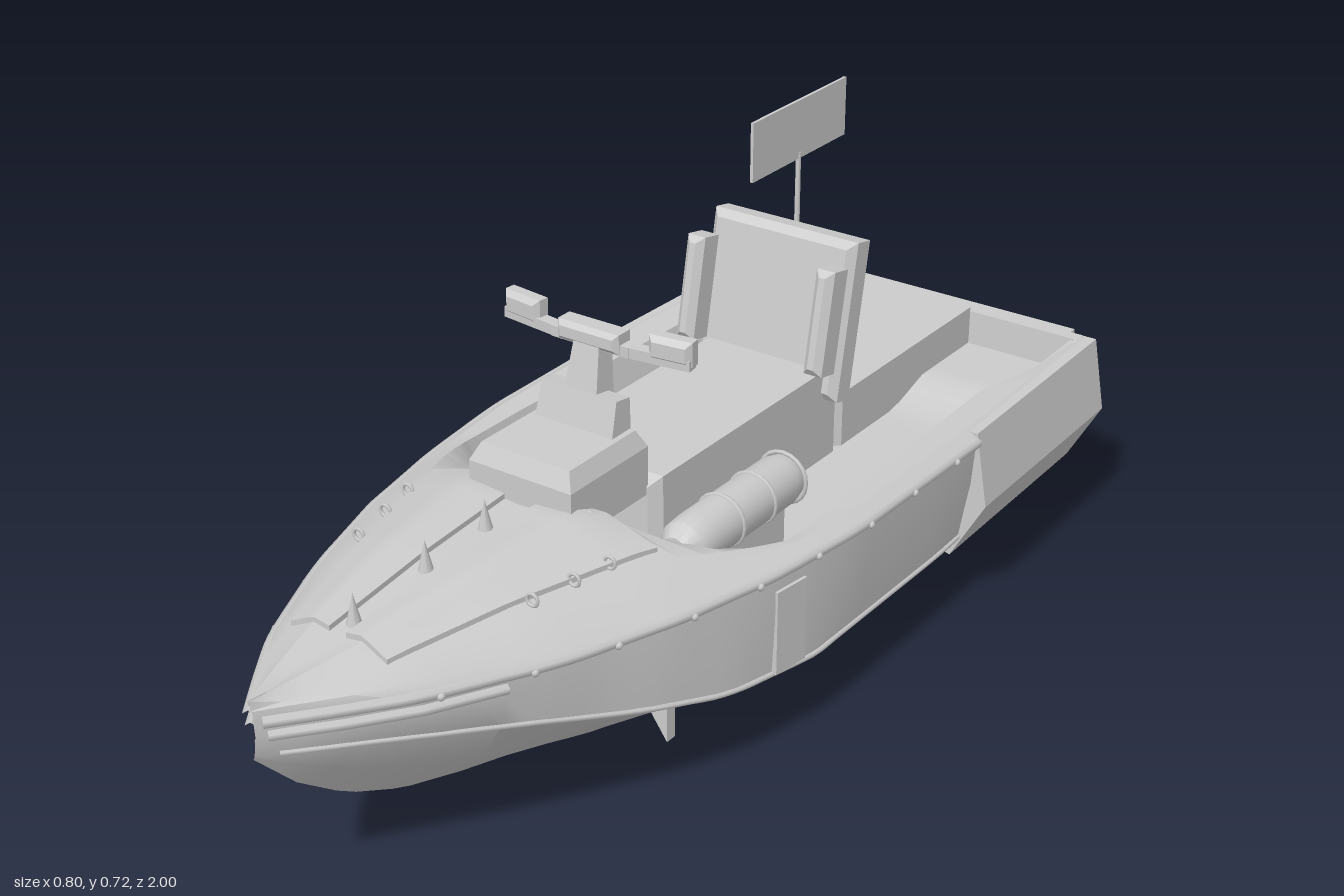
import * as THREE from 'three';
import { toCreasedNormals } from 'three/addons/utils/BufferGeometryUtils.js';

const grey = new THREE.MeshStandardMaterial({ color: 0xcccccc });
const thin = new THREE.MeshStandardMaterial({ color: 0xcccccc, side: THREE.DoubleSide });

// Linear lookup in a list of [z, value] pairs with rising z
function at(table, z) {
  if (z <= table[0][0]) return table[0][1];
  for (let i = 1; i < table.length; i++) {
    const [z0, v0] = table[i - 1], [z1, v1] = table[i];
    if (z <= z1) return v0 + (v1 - v0) * (z - z0) / (z1 - z0);
  }
  return table[table.length - 1][1];
}

// Hull lines
const keelY = [[-0.84, 0.015], [0.1, 0.003], [0.3, 0.002], [0.42, 0.012], [0.55, 0.035], [0.7, 0.085], [0.82, 0.145], [0.92, 0.22], [1, 0.303]];
const chineX = [[-0.84, 0.33], [-0.3, 0.355], [0.1, 0.356], [0.3, 0.33], [0.45, 0.286], [0.6, 0.223], [0.75, 0.152], [0.9, 0.064], [1, 0.003]];
const chineY = [[-0.84, 0.145], [0.1, 0.147], [0.3, 0.168], [0.5, 0.214], [0.62, 0.244], [0.75, 0.272], [0.88, 0.293], [1, 0.31]];
const sheerX = [[-0.84, 0.362], [-0.4, 0.378], [0, 0.372], [0.2, 0.347], [0.4, 0.303], [0.6, 0.237], [0.8, 0.143], [0.9, 0.078], [0.96, 0.034], [1, 0.006]];
const sheerY = [[-0.84, 0.345], [0.2, 0.347], [0.6, 0.354], [1, 0.372]];
const shoulderY = [[0.36, 0.403], [0.6, 0.402], [0.8, 0.396], [1, 0.386]];
const crownY = [[0.36, 0.45], [0.6, 0.441], [0.8, 0.423], [1, 0.4]];
const floorY = [[-0.64, 0.295], [-0.54, 0.265]];

// Inner half of a section: gunwale, shoulder, crown, centre line
function topLine(z) {
  const s = at(sheerX, z), y = at(sheerY, z), f = at(floorY, z);
  const t = THREE.MathUtils.clamp((z - 0.12) / 0.24, 0, 1);
  const mix = (a, b) => a + (b - a) * t;
  const wall = at([[-0.84, 0.315], [-0.64, 0.3], [-0.55, 0.272], [0, 0.29]], z);
  return [
    [s * 0.94, y + 0.013],
    [mix(wall + 0.025, s * 0.73), mix(y + 0.008, at(shoulderY, z))],
    [mix(wall, s * 0.35), mix(f, at(crownY, z))],
    [0, mix(f, at(crownY, z) - 0.008)],
  ];
}

function deckY(x, z) {
  return at(topLine(z).reverse(), Math.abs(x));
}

function hullSection(z, solid) {
  const k = at(keelY, z), c = at(chineX, z), cy = at(chineY, z), s = at(sheerX, z), sy = at(sheerY, z);
  const top = topLine(z);
  if (solid) top.slice(1).forEach((p) => { p[1] = sy + 0.013; });
  return [[0, k], [c * 0.56, k + (cy - k) * 0.5], [c, cy], [c * 0.4 + s * 0.6 + 0.003, cy + (sy - cy) * 0.55], [s, sy], ...top];
}

// Skin over mirrored half sections, capped at the stern
function hullGeometry() {
  const rows = [[-0.84, true], [-0.815, true], [-0.81, false]];
  for (let z = -0.72; z < 0.995; z += 0.04) rows.push([z, false]);
  rows.push([1, false]);
  const pos = [], index = [];
  let n = 0;
  for (const [z, solid] of rows) {
    const half = hullSection(z, solid);
    const ring = [...half, ...half.slice(1, -1).reverse().map(([x, y]) => [-x, y])];
    n = ring.length;
    ring.forEach(([x, y]) => pos.push(x, y, z));
  }
  for (let i = 0; i < rows.length - 1; i++) {
    for (let j = 0; j < n; j++) {
      const a = i * n + j, b = i * n + (j + 1) % n;
      index.push(a, b, b + n, a, b + n, a + n);
    }
  }
  const centre = pos.length / 3;
  pos.push(0, 0.22, -0.84);
  for (let j = 0; j < n; j++) index.push(centre, (j + 1) % n, j);
  const g = new THREE.BufferGeometry();
  g.setAttribute('position', new THREE.Float32BufferAttribute(pos, 3));
  g.setIndex(index);
  return toCreasedNormals(g, 0.5);
}

// Box with chamfered edges
function chamferBox(w, h, d, b) {
  const s = new THREE.Shape();
  const x = w / 2 - b, y = h / 2 - b;
  s.moveTo(-x, -y).lineTo(x, -y).lineTo(x, y).lineTo(-x, y).closePath();
  return new THREE.ExtrudeGeometry(s, { depth: d - 2 * b, bevelSize: b, bevelThickness: b, bevelSegments: 1 }).translate(0, 0, b - d / 2);
}

// Box whose top is narrowed to the given fractions
function taperBox(w, h, d, tx, tz) {
  const g = new THREE.BoxGeometry(w, h, d), p = g.attributes.position;
  for (let i = 0; i < p.count; i++) if (p.getY(i) > 0) p.setXYZ(i, p.getX(i) * tx, p.getY(i), p.getZ(i) * tz);
  const flat = g.toNonIndexed();
  flat.computeVertexNormals();
  return flat;
}

// Raised hatch panel on one side of the deck, its border ring dropped as a skirt
function hatchGeometry(s) {
  const g = new THREE.PlaneGeometry(1, 1, 10, 14), p = g.attributes.position;
  for (let i = 0; i < p.count; i++) {
    const u = (p.getX(i) * 10 + 4) / 8, v = (p.getY(i) * 14 + 6) / 12;
    const skirt = u < -0.01 || u > 1.01 || v < -0.01 || v > 1.01;
    const uu = THREE.MathUtils.clamp(u, 0, 1), vv = THREE.MathUtils.clamp(v, 0, 1), z = 0.34 + 0.475 * vv;
    const x = (0.032 - 0.016 * vv) * (1 - uu) + (0.222 - 0.13 * vv) * uu;
    p.setXYZ(i, s * x, deckY(x, z) + (skirt ? -0.006 : 0.009), z);
  }
  return toCreasedNormals(g, 0.5);
}

export function createModel() {
  const model = new THREE.Group();
  const add = (name, geo, x = 0, y = 0, z = 0, rx = 0, ry = 0, rz = 0, mat = grey) => {
    const m = new THREE.Mesh(geo, mat);
    m.name = name;
    m.position.set(x, y, z);
    m.rotation.set(rx, ry, rz);
    model.add(m);
  };

  add('hull', hullGeometry());

  for (const s of [-1, 1]) {
    // Rub rail along the sheer, lower bow guard and chine strake
    const strip = (name, xs, ys, dy, z0, z1, r) => {
      const path = Array.from({ length: 24 }, (_, i) => {
        const z = z0 + (z1 - z0) * i / 23;
        return new THREE.Vector3(s * at(xs, z), at(ys, z) + dy, z);
      });
      add(name, new THREE.TubeGeometry(new THREE.CatmullRomCurve3(path), 60, r, 6));
    };
    strip('rubRail', sheerX, sheerY, -0.007, -0.38, 0.99, 0.01);
    strip('bowGuard', sheerX, sheerY, -0.03, 0.68, 0.985, 0.009);
    strip('chineStrake', chineX, chineY, 0, -0.38, 0.97, 0.005);

    // Rear side armour, tapering aft
    const sec = new THREE.Shape();
    [[0.3, 0.115], [0.337, 0.105], [0.402, 0.22], [0.378, 0.355], [0.34, 0.355]].forEach(([x, y], i) => (i ? sec.lineTo(s * x, y) : sec.moveTo(s * x, y)));
    const armour = new THREE.ExtrudeGeometry(sec, { depth: 0.465, bevelEnabled: false }).translate(0, 0, -0.845);
    const p = armour.attributes.position;
    for (let i = 0; i < p.count; i++) if (p.getZ(i) < -0.6) p.setX(i, p.getX(i) - s * 0.012);
    armour.computeVertexNormals();
    add('sideArmour', armour);

    // Side plate and rivets on the rail
    add('sidePlate', new THREE.BoxGeometry(0.02, 0.15, 0.07), s * 0.3475, 0.235, 0.165, 0, -s * 0.13);
    for (let i = 0; i < 9; i++) {
      const z = -0.3 + i * 0.135;
      add('railStud', new THREE.SphereGeometry(0.007, 8, 6), s * (at(sheerX, z) + 0.007), at(sheerY, z) - 0.01, z);
    }

    add('deckHatch', hatchGeometry(s), 0, 0, 0, 0, 0, 0, thin);

    // Tie rings
    for (const z of [0.43, 0.5, 0.58]) {
      const x = 0.285 - z * 0.2;
      add('tieRing', new THREE.TorusGeometry(0.01, 0.003, 6, 14), s * x, deckY(x, z) + 0.012, z);
    }

    // Jet thruster: open duct, hub and blades
    const duct = [[0.001, 0.065], [0.07, 0.065], [0.074, 0], [0.083, 0], [0.089, 0.03], [0.089, 0.17], [0.085, 0.23], [0.001, 0.23]].map(([r, y]) => new THREE.Vector2(r, y));
    add('thrusterDuct', toCreasedNormals(new THREE.LatheGeometry(duct, 28), 0.5), s * 0.17, 0.158, -1, Math.PI / 2, 0, 0, thin);
    add('thrusterHub', new THREE.CylinderGeometry(0.006, 0.022, 0.06, 14), s * 0.17, 0.158, -0.965, -Math.PI / 2);
    for (let i = 0; i < 5; i++) {
      add('thrusterBlade', new THREE.BoxGeometry(0.02, 0.05, 0.004).rotateY(0.4).translate(0, 0.04, 0), s * 0.17, 0.158, -0.942, 0, 0, i * Math.PI * 0.4);
    }

    // Backrest bolsters and brackets
    add('backrestBolster', chamferBox(0.036, 0.185, 0.065, 0.012), s * 0.132, 0.54, -0.274, -0.19);
    add('backrestBracket', new THREE.BoxGeometry(0.03, 0.1, 0.03), s * 0.1, 0.39, -0.31, -0.19);

    // Handlebar arm and grip
    add('handleGrip', chamferBox(0.076, 0.042, 0.036, 0.009), s * 0.143, 0.667, 0.187, 0, s * 0.12);
    add('handleArm', new THREE.BoxGeometry(0.13, 0.018, 0.022), s * 0.115, 0.65, 0.195, 0, s * 0.12);
  }

  // Seat, rear engine cover and backrest
  add('seat', chamferBox(0.24, 0.19, 0.55, 0.018), 0, 0.341, -0.075);
  add('engineCover', chamferBox(0.24, 0.12, 0.48, 0.014), 0, 0.308, -0.585);
  add('backrest', chamferBox(0.292, 0.285, 0.066, 0.014), 0, 0.517, -0.342, -0.19);

  // Steering console, column and handlebar centre
  add('consoleBase', new THREE.BoxGeometry(0.2, 0.085, 0.2), 0, 0.447, 0.295);
  add('consoleTop', taperBox(0.2, 0.03, 0.2, 0.86, 0.85), 0, 0.5045, 0.295);
  add('consolePanel', taperBox(0.152, 0.06, 0.05, 0.96, 0.7), 0, 0.545, 0.228, -0.15);
  add('steeringColumn', taperBox(0.07, 0.12, 0.05, 0.7, 0.7), 0, 0.59, 0.212, -0.15);
  add('handlebarCentre', chamferBox(0.118, 0.034, 0.045, 0.008), 0, 0.66, 0.2);
  add('handlebar', new THREE.BoxGeometry(0.15, 0.018, 0.025), 0, 0.65, 0.2);

  // Deck spikes on the centre strip
  for (const z of [0.48, 0.62, 0.78]) {
    add('deckSpike', new THREE.ConeGeometry(0.013, 0.055, 8), 0, deckY(0, z) + 0.024, z);
  }

  // Strapped tank beside the seat
  const tank = [[0.001, -0.16], [0.025, -0.158], [0.042, -0.135], [0.045, -0.1], [0.045, 0.13], [0.04, 0.152], [0.001, 0.16]].map(([r, y]) => new THREE.Vector2(r, y));
  add('tank', toCreasedNormals(new THREE.LatheGeometry(tank, 20), 0.6), 0.203, 0.365, 0.11, -Math.PI / 2);
  for (const z of [-0.04, 0.05, 0.14]) add('tankStrap', new THREE.TorusGeometry(0.045, 0.004, 6, 20), 0.203, 0.365, z);
  add('tankCradle', new THREE.BoxGeometry(0.06, 0.07, 0.2), 0.203, 0.3, 0.1);

  // Flag on its pole
  add('flagPole', new THREE.CylinderGeometry(0.005, 0.006, 0.33, 8), -0.232, 0.455, -0.75);
  add('flag', new THREE.BoxGeometry(0.006, 0.116, 0.32), -0.232, 0.666, -0.75);

  // Transom rail
  add('transomRail', new THREE.BoxGeometry(0.63, 0.02, 0.02), 0, 0.347, -0.848);

  // Small fin under the left side
  const fin = new THREE.Shape();
  fin.moveTo(0.185, 0.092).lineTo(0.22, 0.042).lineTo(0.22, 0.112).closePath();
  add('hullFin', new THREE.ExtrudeGeometry(fin, { depth: 0.022, bevelEnabled: false }), 0, 0, 0.29);
  return model;
}
